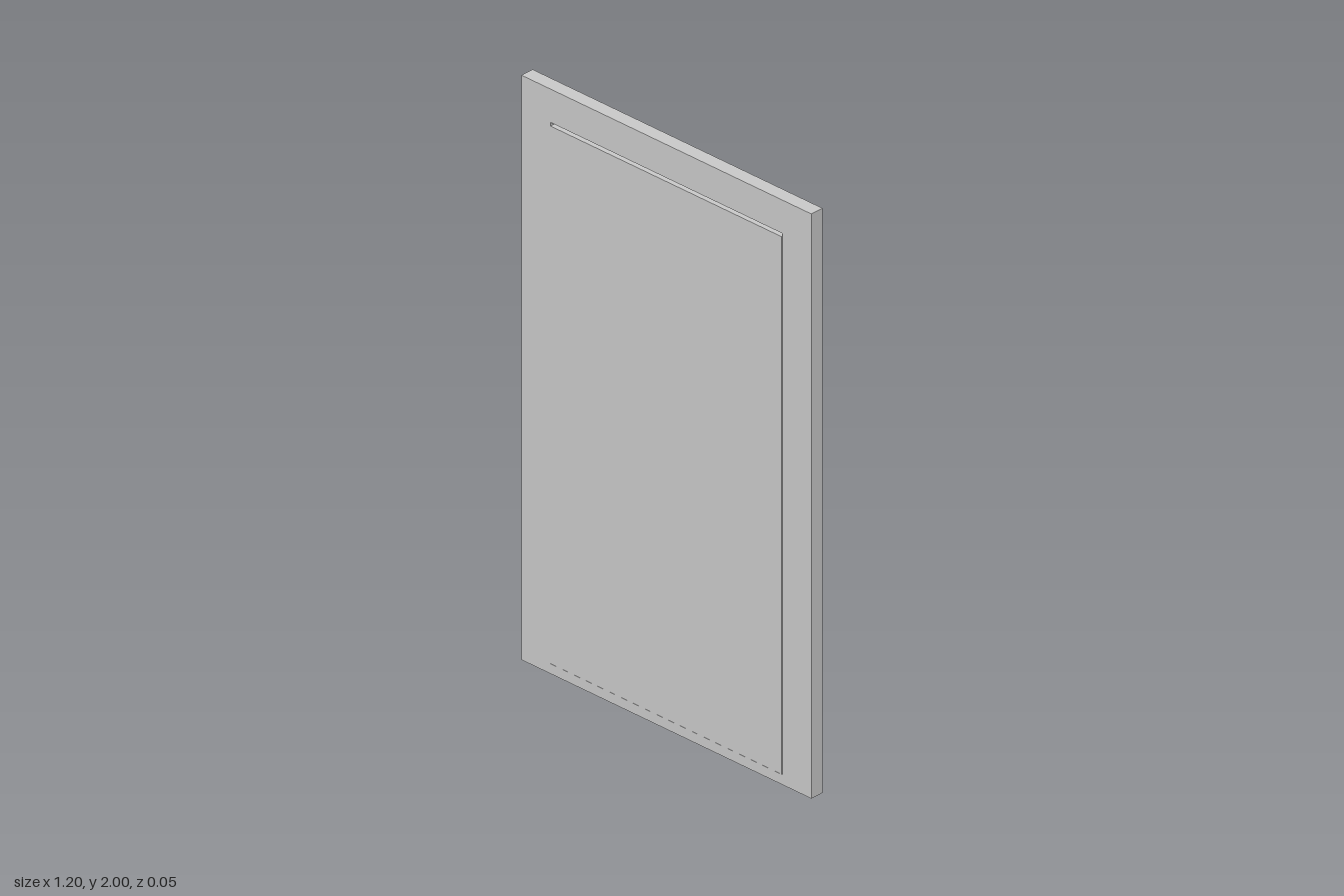
import * as THREE from 'three';

const material = new THREE.MeshStandardMaterial({ color: 0xcccccc });

// Rectangle outline from x0..x1, y0..y1, as a Shape or a hole Path
function rect(Type, x0, x1, y0, y1) {
  const r = new Type();
  r.moveTo(x0, y0);
  r.lineTo(x1, y0);
  r.lineTo(x1, y1);
  r.lineTo(x0, y1);
  r.closePath();
  return r;
}

// Extrude a shape between two z planes
function slab(name, shape, zBack, zFront) {
  const geometry = new THREE.ExtrudeGeometry(shape, { depth: zFront - zBack, bevelEnabled: false });
  geometry.translate(0, 0, zBack);
  const mesh = new THREE.Mesh(geometry, material);
  mesh.name = name;
  return mesh;
}

// Three-sided surround, open at the floor
function surround(inner, top) {
  const s = new THREE.Shape();
  [[-0.6, 0], [-inner, 0], [-inner, top], [inner, top], [inner, 0], [0.6, 0], [0.6, 2], [-0.6, 2]]
    .forEach(([x, y], i) => (i ? s.lineTo(x, y) : s.moveTo(x, y)));
  s.closePath();
  return s;
}

export function createModel() {
  const model = new THREE.Group();
  model.name = 'door';

  // Frame: flat front with sill, stepped surround behind it
  const frame = new THREE.Group();
  frame.name = 'frame';
  const front = rect(THREE.Shape, -0.6, 0.6, 0, 2);
  front.holes.push(rect(THREE.Path, -0.48, 0.48, 0.034, 1.886));
  frame.add(slab('frameFront', front, -0.008, 0.023));
  const steps = [
    [0.525, 1.915, -0.014, -0.008],
    [0.555, 1.945, -0.019, -0.014],
    [0.58, 1.98, -0.025, -0.019],
  ];
  steps.forEach(([inner, top, z0, z1], i) => {
    frame.add(slab(`frameStep${i + 1}`, surround(inner, top), z0, z1));
  });
  model.add(frame);

  // Door leaf: plain front skin, back layer with four recessed panels
  const leaf = new THREE.Group();
  leaf.name = 'doorLeaf';
  const outline = () => rect(THREE.Shape, -0.478, 0.478, 0.036, 1.875);
  leaf.add(slab('leafFront', outline(), -0.008, 0.025));
  const panelled = outline();
  for (const x of [-0.4, 0.045]) {
    for (const y of [0.105, 1.0]) {
      panelled.holes.push(rect(THREE.Path, x, x + 0.355, y, y + 0.795));
    }
  }
  leaf.add(slab('leafPanelling', panelled, -0.018, -0.008));
  model.add(leaf);

  return model;
}
